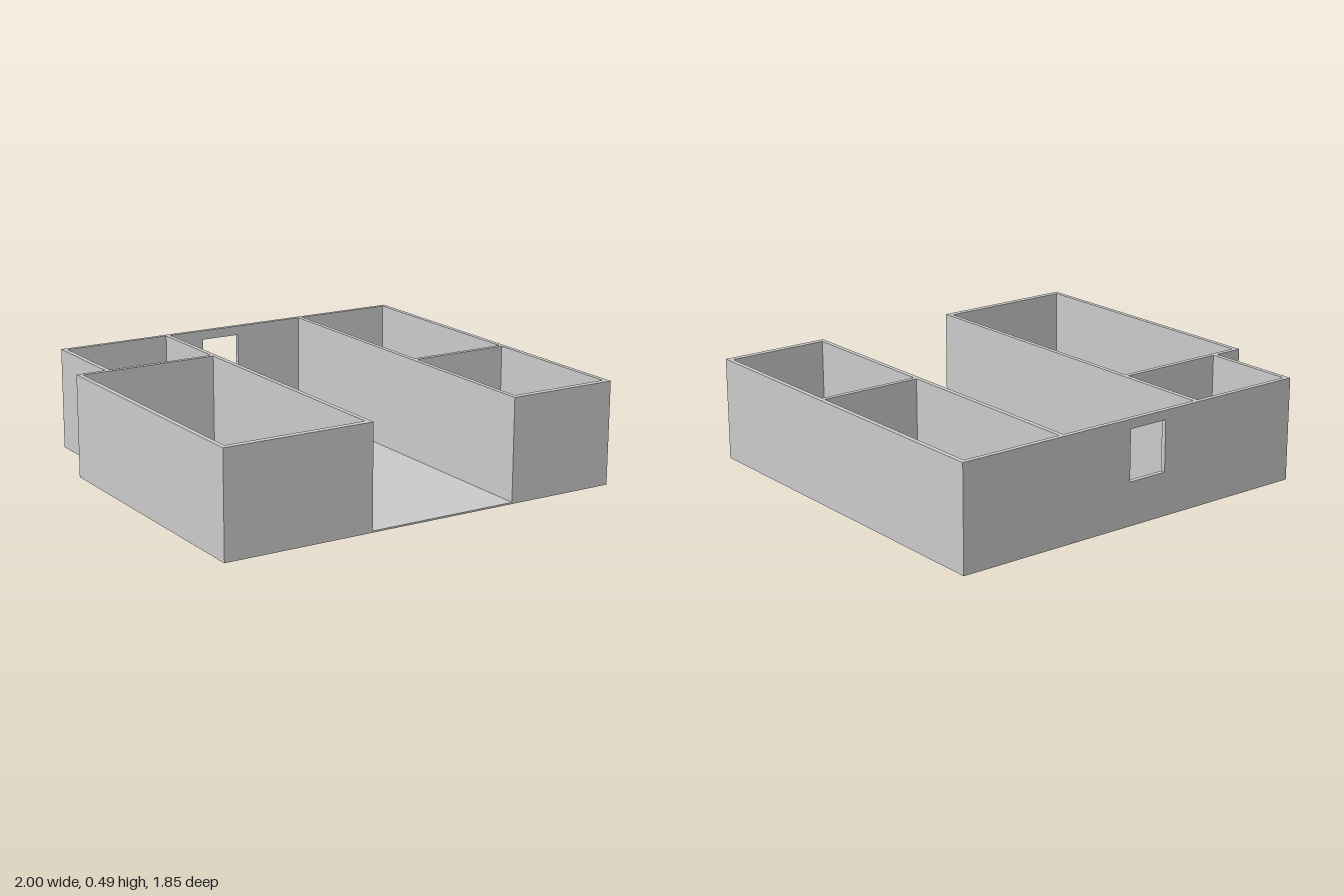
import * as THREE from 'three';

const H = 0.49;        // total height
const FLOOR = 0.008;   // slab thickness
const T = 0.023;       // wall thickness
const FRONT = 0.923, BACK = -0.923;
const HALL_L = -0.278, HALL_R = 0.46;   // faces of the open hall
const NOTCH_X = -0.855, NOTCH_Z = -0.445;

const material = new THREE.MeshStandardMaterial({ color: 0xcccccc, flatShading: true });

const points = (list) => list.map(([a, b]) => new THREE.Vector2(a, b));
const rect = (x0, x1, y0, y1) => points([[x0, y0], [x1, y0], [x1, y1], [x0, y1]]);

// Extrudes a floor plan given as [x, z] corners upward from y0 to y1
function plan(name, outline, rooms, y0, y1) {
  const shape = new THREE.Shape(points(outline.map(([x, z]) => [x, -z])));
  for (const [x0, x1, z0, z1] of rooms) shape.holes.push(new THREE.Path(rect(x0, x1, -z1, -z0)));
  const geometry = new THREE.ExtrudeGeometry(shape, { depth: y1 - y0, bevelEnabled: false });
  geometry.rotateX(-Math.PI / 2).translate(0, y0, 0);
  const mesh = new THREE.Mesh(geometry, material);
  mesh.name = name;
  return mesh;
}

export function createModel() {
  const house = new THREE.Group();
  house.name = 'floorPlan';

  // Floor slab, with the rear corner stepped in
  house.add(plan('floor', [
    [-1, FRONT], [1, FRONT], [1, BACK], [NOTCH_X, BACK], [NOTCH_X, NOTCH_Z], [-1, NOTCH_Z],
  ], [], 0, FLOOR));

  // Large front room and small rear room beside the hall
  house.add(plan('steppedWingWalls', [
    [-1, FRONT], [HALL_L, FRONT], [HALL_L, BACK], [NOTCH_X, BACK], [NOTCH_X, NOTCH_Z], [-1, NOTCH_Z],
  ], [
    [-1 + T, HALL_L - T, NOTCH_Z + T, FRONT - 0.03],
    [NOTCH_X + T, HALL_L - T, BACK + T, NOTCH_Z],
  ], FLOOR, H));

  // Two rooms on the straight side
  house.add(plan('straightWingWalls', [
    [HALL_R, FRONT], [1, FRONT], [1, BACK], [HALL_R, BACK],
  ], [
    [HALL_R + T, 1 - T, BACK + T, 0.115],
    [HALL_R + T, 1 - T, 0.138, FRONT - 0.03],
  ], FLOOR, H));

  // Rear wall of the hall with its window opening
  const wall = new THREE.Shape(rect(HALL_L, HALL_R, FLOOR, H));
  wall.holes.push(new THREE.Path(rect(-0.095, 0.105, 0.205, 0.445)));
  const rear = new THREE.Mesh(new THREE.ExtrudeGeometry(wall, { depth: T, bevelEnabled: false }), material);
  rear.name = 'hallRearWall';
  rear.position.z = BACK;
  house.add(rear);

  return house;
}
